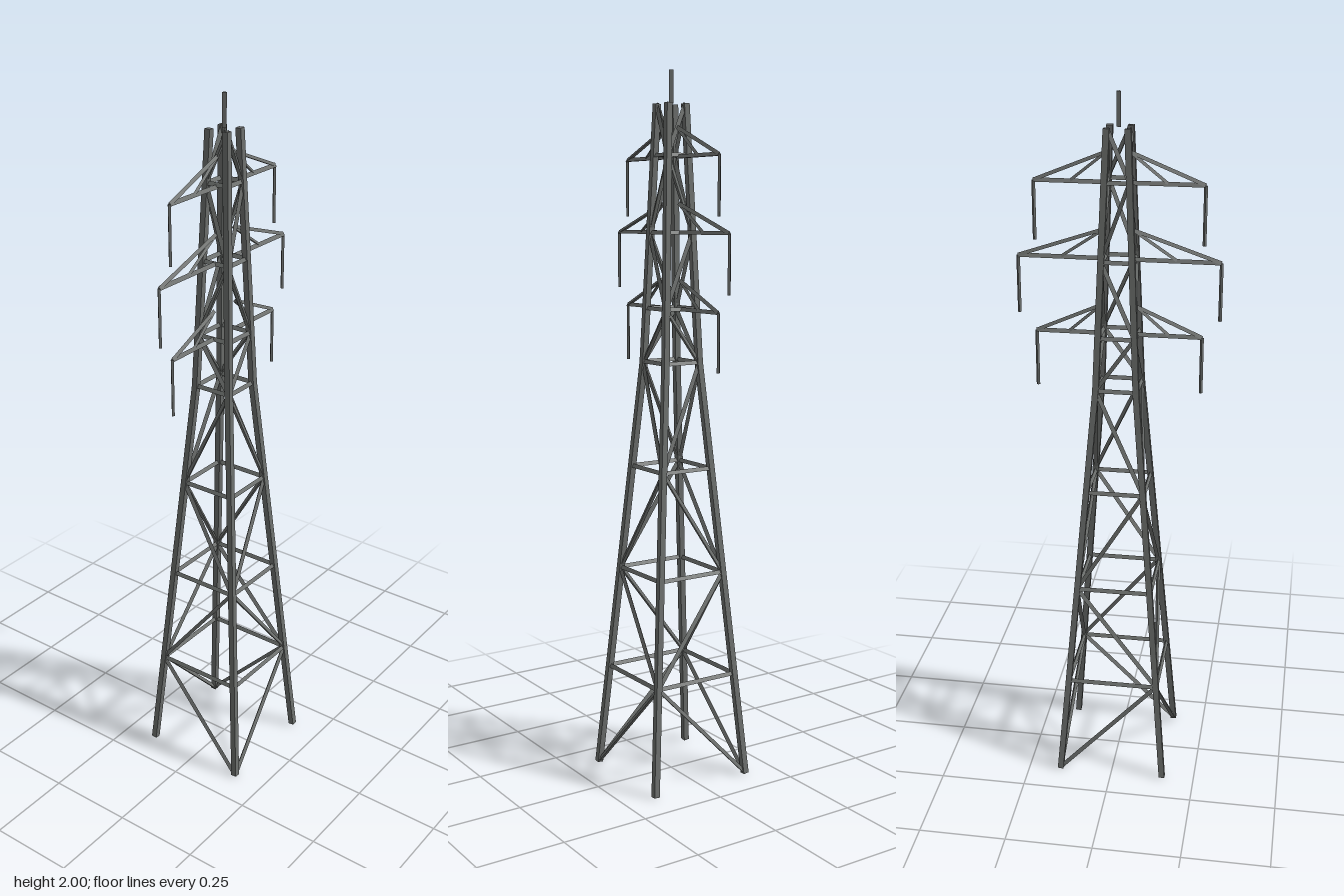
import * as THREE from 'three';

const V = (x, y, z) => new THREE.Vector3(x, y, z);

// Straight low-poly bar between two points, with one edge turned upward (or forward if vertical)
function bar(parent, name, a, b, radius, sides, material) {
  const dir = b.clone().sub(a);
  const length = dir.length();
  dir.normalize();
  const ridge = Math.abs(dir.y) > 0.9999 ? V(0, 0, 1) : V(0, 1, 0).addScaledVector(dir, -dir.y).normalize();
  const across = dir.clone().cross(ridge);
  const geometry = new THREE.CylinderGeometry(radius, radius, length, sides).toNonIndexed();
  geometry.computeVertexNormals();
  const mesh = new THREE.Mesh(geometry, material);
  mesh.quaternion.setFromRotationMatrix(new THREE.Matrix4().makeBasis(across, dir, ridge));
  mesh.position.copy(a).add(b).multiplyScalar(0.5);
  mesh.name = name;
  parent.add(mesh);
}

// Half width of the tower at height y: wide taper below the waist, slimmer above
const WAIST = 1.2, TOP = 1.91;
function halfWidth(y) {
  return y < WAIST
    ? THREE.MathUtils.lerp(0.155, 0.056, y / WAIST)
    : THREE.MathUtils.lerp(0.056, 0.028, (y - WAIST) / (TOP - WAIST));
}

export function createModel() {
  const steel = new THREE.MeshStandardMaterial({ name: 'galvanised steel', color: 0x6b6e6c });

  const tower = new THREE.Group();
  tower.name = 'transmissionTower';

  const group = (name) => {
    const g = new THREE.Group();
    g.name = name;
    tower.add(g);
    return g;
  };

  const corners = [[-1, 1], [1, 1], [1, -1], [-1, -1]];
  const corner = (i, y) => {
    const [sx, sz] = corners[i % 4];
    const w = halfWidth(y);
    return V(sx * w, y, sz * w);
  };

  // Four legs, bent slightly at the waist
  const legs = group('legs');
  for (let i = 0; i < 4; i++) {
    bar(legs, 'lowerLeg', corner(i, 0), corner(i, WAIST), 0.012, 4, steel);
    bar(legs, 'upperLeg', corner(i, WAIST), corner(i, TOP), 0.012, 4, steel);
  }

  // Horizontal rings and zigzag diagonals on every face
  const rings = group('horizontalBraces');
  const diagonals = group('diagonalBraces');
  const levels = [0, 0.3, 0.6, 0.9, 1.2, 1.35, 1.56, 1.77, TOP];
  for (let p = 0; p < levels.length - 1; p++) {
    const y0 = levels[p], y1 = levels[p + 1];
    for (let i = 0; i < 4; i++) {
      if (p > 0) bar(rings, 'horizontalBrace', corner(i, y0), corner(i + 1, y0), 0.007, 3, steel);
      const low = (i + p) % 2 === 0 ? i : i + 1;
      const high = low === i ? i + 1 : i;
      bar(diagonals, 'diagonalBrace', corner(low, y0), corner(high, y1), 0.007, 3, steel);
    }
  }

  // Three pairs of cross arms with hanging insulators
  for (const [y, reach] of [[1.35, 0.228], [1.56, 0.275], [1.765, 0.228]]) {
    for (const side of [1, -1]) {
      const arm = group(side > 0 ? 'leftCrossArm' : 'rightCrossArm');
      const root = V(side * halfWidth(y), y, 0);
      const upper = V(side * halfWidth(y + 0.08), y + 0.08, 0);
      const tip = V(side * reach, y, 0);
      const middle = root.clone().lerp(tip, 0.5);
      bar(arm, 'lowerChord', root, tip, 0.007, 3, steel);
      bar(arm, 'upperChord', upper, tip, 0.006, 3, steel);
      bar(arm, 'armStrut', upper, middle, 0.005, 3, steel);
      bar(arm, 'insulator', V(tip.x, y - 0.16, 0), tip, 0.005, 4, steel);
    }
  }

  // Lightning rod on the axis
  bar(tower, 'lightningRod', V(0, TOP, 0), V(0, 2, 0), 0.007, 3, steel);

  return tower;
}
